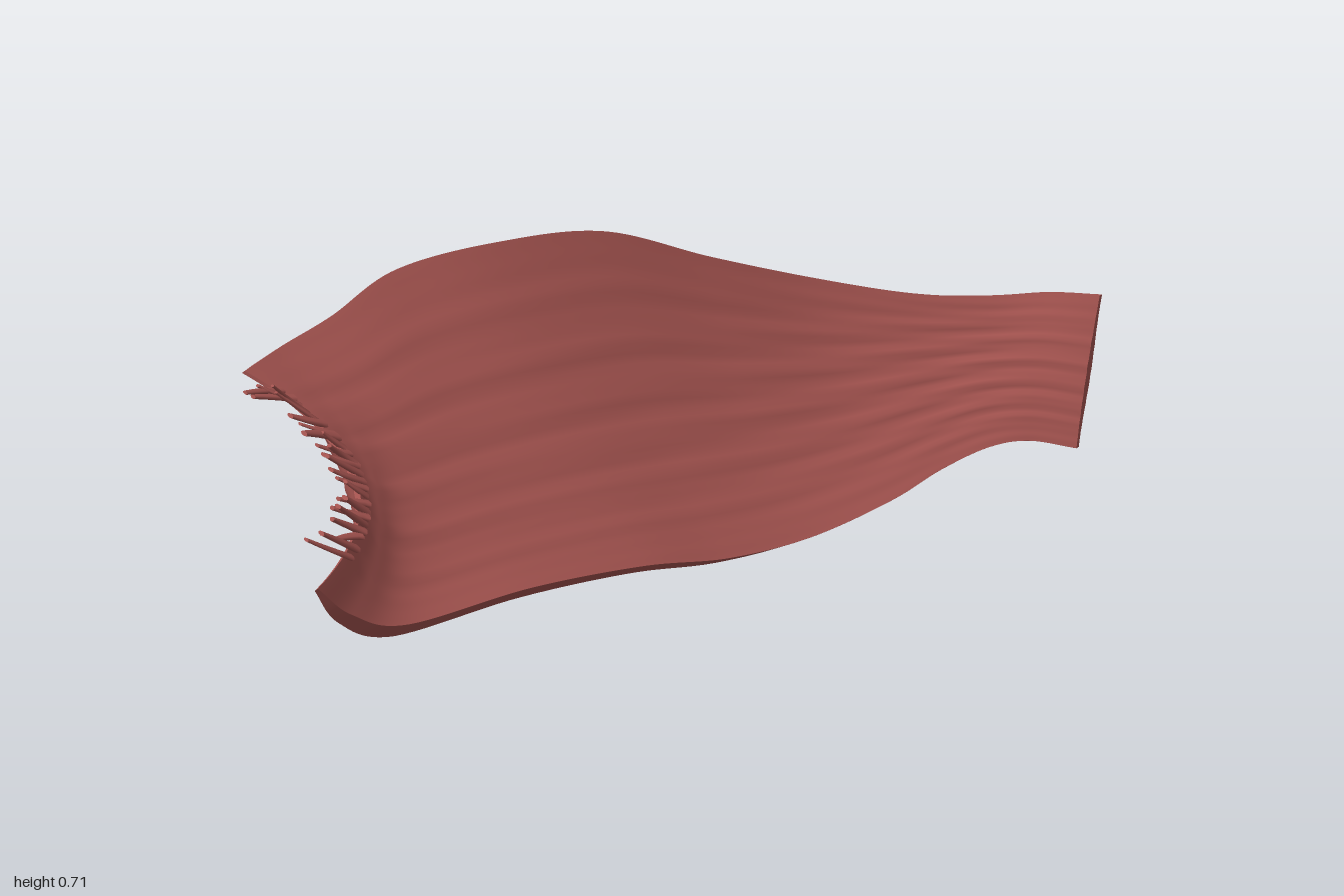
import * as THREE from 'three';

const V = (x, y, z) => new THREE.Vector3(x, y, z);

// Stations from the frayed front to the flat back end:
// lower rim, inner middle, upper rim, thickness
const stations = [
  [V(.217, .37, .99), V(0, .445, .765), V(-.22, .615, .86), .014],
  [V(.21, .29, .92), V(-.01, .41, .72), V(-.265, .625, .75), .065],
  [V(.205, .225, .8), V(-.03, .385, .64), V(-.29, .648, .62), .1],
  [V(.185, .19, .5), V(-.06, .37, .45), V(-.312, .7, .45), .1],
  [V(.168, .13, .2), V(-.07, .345, .2), V(-.283, .715, .22), .1],
  [V(.155, .06, -.05), V(-.07, .31, -.05), V(-.248, .692, -.04), .095],
  [V(.148, .026, -.3), V(-.05, .265, -.3), V(-.195, .59, -.3), .09],
  [V(.15, .038, -.55), V(-.01, .24, -.55), V(-.125, .502, -.55), .085],
  [V(.155, .07, -.71), V(.06, .25, -.75), V(-.015, .447, -.755), .08],
  [V(.19, .103, -.83), V(.14, .27, -.86), V(.11, .442, -.885), .065],
  [V(.25, .12, -.9), V(.24, .29, -.92), V(.225, .465, -.955), .045],
  [V(.357, .125, -.942), V(.357, .3, -.955), V(.357, .49, -.98), .027],
];
const track = k => new THREE.CatmullRomCurve3(stations.map(s => s[k]), false, 'catmullrom', 0.5);
const lower = track(0), middle = track(1), upper = track(2);

function thickness(u) {
  const f = u * (stations.length - 1), i = Math.min(Math.floor(f), stations.length - 2);
  return THREE.MathUtils.lerp(stations[i][3], stations[i + 1][3], f - i);
}

// Point on the inner face: parabola through lower rim, middle and upper rim
function innerPoint(u, v) {
  return lower.getPoint(u).multiplyScalar((1 - v) * (1 - 2 * v))
    .addScaledVector(middle.getPoint(u), 4 * v * (1 - v))
    .addScaledVector(upper.getPoint(u), v * (2 * v - 1));
}

function outward(u) {
  const chord = upper.getPoint(u).sub(lower.getPoint(u));
  return chord.cross(middle.getTangent(u)).normalize();
}

// Long shallow grooves that follow the fibres
function groove(u, v) {
  const fade = Math.sin(Math.PI * v);
  return fade * (0.0025 * Math.sin(46 * v + 3 * Math.sin(5 * u))
    + 0.002 * Math.sin(83 * v + 7 * u + 2 * Math.sin(9 * u)));
}

// Closed loops: inner face upwards, outer face back down, with blunt rims between
function sheetGeometry(rows = 120, half = 56) {
  const ring = half * 2 + 2, pos = [], idx = [];
  for (let i = 0; i <= rows; i++) {
    const u = i / rows, n = outward(u), t = thickness(u);
    const grooves = Math.min(1, t / 0.06);
    for (let j = 0; j < ring; j++) {
      const outer = j > half, k = outer ? ring - 1 - j : j;
      const v = (1 - Math.cos(Math.PI * k / half)) / 2;
      const d = outer
        ? t * (0.5 + 0.5 * Math.sin(Math.PI * v) ** 2) + groove(u + .3, v) * grooves * 0.7
        : groove(u, v) * grooves;
      pos.push(...innerPoint(u, v).addScaledVector(n, d).toArray());
    }
  }
  for (let i = 0; i < rows; i++) {
    for (let j = 0; j < ring; j++) {
      const a = i * ring + j, b = i * ring + (j + 1) % ring;
      idx.push(a, a + ring, b, b, a + ring, b + ring);
    }
  }
  // End caps with their own vertices, so the cut edges stay sharp
  for (const row of [0, rows]) {
    const base = pos.length / 3;
    pos.push(...pos.slice(row * ring * 3, (row + 1) * ring * 3));
    for (let j = 0; j < half; j++) {
      const a = base + j, b = a + 1, c = base + ring - 1 - j, d = c - 1;
      if (row === 0) idx.push(a, b, d, a, d, c);
      else idx.push(a, d, b, a, c, d);
    }
  }
  const g = new THREE.BufferGeometry();
  g.setAttribute('position', new THREE.Float32BufferAttribute(pos, 3));
  g.setIndex(idx);
  g.computeVertexNormals();
  return g;
}

// Flat tapered strand rising from its root and curling sideways
function strandGeometry(length, radius, curl) {
  const g = new THREE.CylinderGeometry(radius * 0.55, radius, length, 8, 5);
  g.translate(0, length / 2, 0);
  const p = g.attributes.position;
  for (let i = 0; i < p.count; i++) {
    const k = p.getY(i) / length;
    p.setX(i, p.getX(i) + curl * k * k);
    p.setZ(i, p.getZ(i) * 0.45);
  }
  g.computeVertexNormals();
  return g;
}

export function createModel() {
  const model = new THREE.Group();
  model.name = 'muscleSheet';
  const flesh = new THREE.MeshStandardMaterial({ color: 0xa3534f });
  flesh.name = 'muscleRed';

  const sheet = new THREE.Mesh(sheetGeometry(), flesh);
  sheet.name = 'curvedSheet';
  model.add(sheet);

  // Torn fibres along the front edge
  let seed = 7;
  const rand = () => (seed = (seed * 16807) % 2147483647) / 2147483647;
  const fibres = new THREE.Group();
  fibres.name = 'frayedFibres';
  const count = 24;
  for (let i = 0; i < count; i++) {
    const v = 0.14 + 0.8 * (i + rand() * 0.6) / count;
    const length = 0.05 + 0.06 * rand();
    const strand = new THREE.Mesh(
      strandGeometry(length, 0.011 + 0.007 * rand(), (rand() - 0.5) * 0.05), flesh);
    const dir = V((rand() - 0.5) * 0.5, 0.25 + 0.6 * rand(), 0.8).normalize();
    strand.quaternion.setFromUnitVectors(V(0, 1, 0), dir);
    strand.position.copy(innerPoint(0, v)).addScaledVector(dir, -0.015);
    strand.name = 'fibre';
    fibres.add(strand);
  }
  model.add(fibres);
  return model;
}
